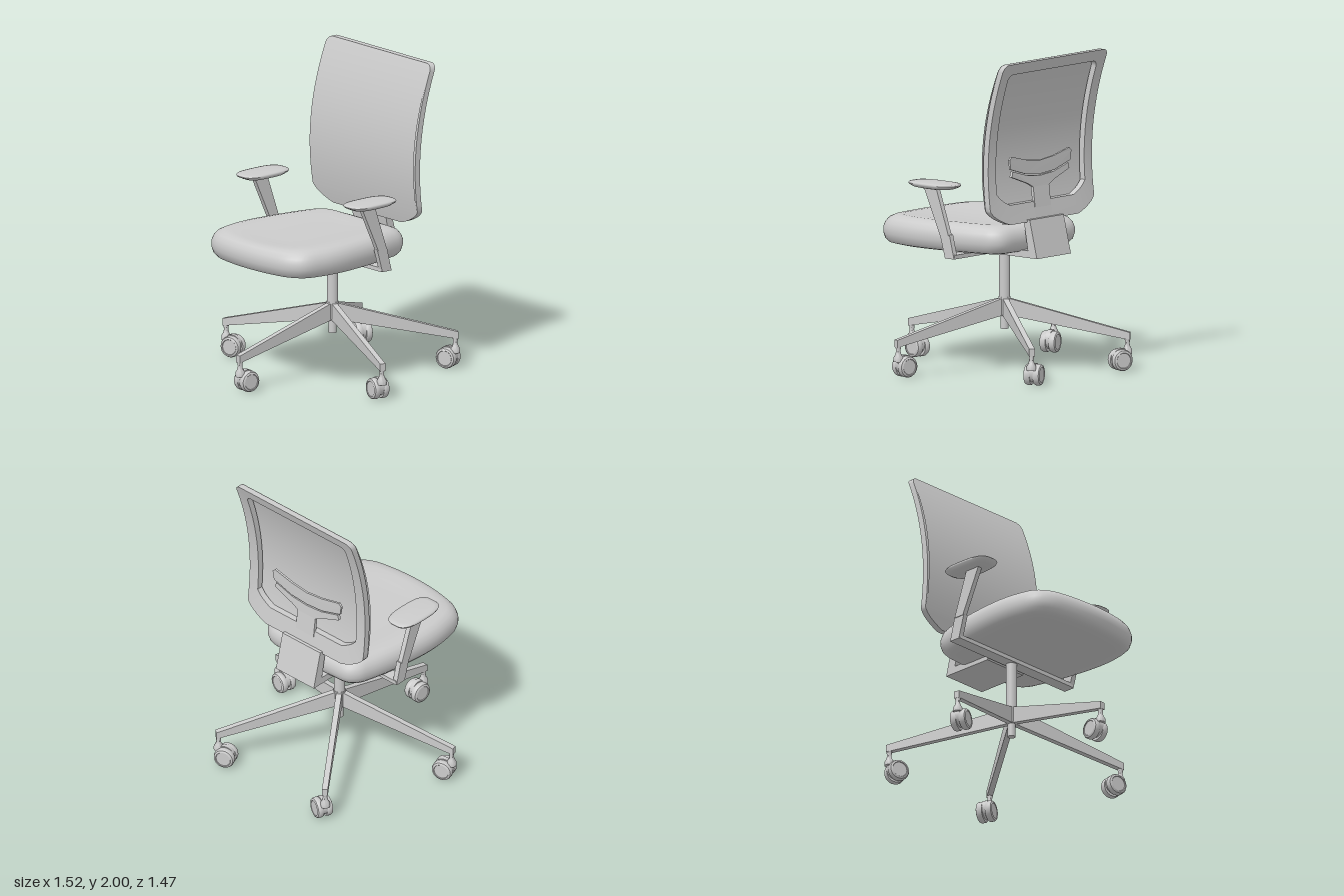
import * as THREE from 'three';
import { toCreasedNormals } from 'three/addons/utils/BufferGeometryUtils.js';

const grey = new THREE.MeshStandardMaterial({ color: 0xcccccc });
const greyThin = new THREE.MeshStandardMaterial({ color: 0xcccccc, side: THREE.DoubleSide });

function add(parent, name, geometry, material = grey) {
  const mesh = new THREE.Mesh(geometry, material);
  mesh.name = name;
  parent.add(mesh);
  return mesh;
}

// Skin over rings of [x, y, z] points; loopU closes each ring, loopV joins last ring to first
function loft(rings, loopU = true, loopV = false, crease = 0.6) {
  const n = rings[0].length, m = rings.length, index = [];
  for (let i = 0; i < (loopV ? m : m - 1); i++) {
    for (let j = 0; j < (loopU ? n : n - 1); j++) {
      const i2 = (i + 1) % m, j2 = (j + 1) % n;
      const a = i * n + j, b = i * n + j2, c = i2 * n + j2, d = i2 * n + j;
      index.push(a, b, c, a, c, d);
    }
  }
  const g = new THREE.BufferGeometry();
  g.setAttribute('position', new THREE.Float32BufferAttribute(rings.flat(2), 3));
  g.setIndex(index);
  g.computeVertexNormals();
  return toCreasedNormals(g, crease);
}

// Side profile of [z, y] points, extruded along x from x0
function sideProfile(points, x0, width) {
  const shape = new THREE.Shape(points.map(([z, y]) => new THREE.Vector2(z, y)));
  const g = new THREE.ExtrudeGeometry(shape, { depth: width, bevelEnabled: false });
  return g.rotateY(-Math.PI / 2).translate(x0 + width, 0, 0);
}

// Front depth of the curved backrest at height y
const backZ = (y) => -0.32 - 0.3 * (y - 1.32) ** 2;

// Right half of the backrest outline, from top centre to bottom centre
function halfOutline(w, top, bottom, radius, cornerX, cornerH) {
  const pts = [[0, top]];
  for (let i = 0; i <= 6; i++) {
    const a = (i / 6) * Math.PI / 2;
    pts.push([w - radius + radius * Math.sin(a), top - radius + radius * Math.cos(a)]);
  }
  const y0 = top - radius, y1 = bottom + cornerH;
  for (let i = 1; i <= 20; i++) pts.push([w, y0 + (y1 - y0) * i / 20]);
  const curve = new THREE.QuadraticBezierCurve(
    new THREE.Vector2(w, y1), new THREE.Vector2(w - 0.03, y1 - cornerH * 0.55), new THREE.Vector2(cornerX, bottom));
  curve.getPoints(8).slice(1).forEach((p) => pts.push([p.x, p.y]));
  pts.push([0, bottom]);
  return pts;
}
const mirrorX = (pts) => pts.map(([x, ...rest]) => [-x, ...rest]);

function buildBackrest(chair) {
  const back = new THREE.Group();
  back.name = 'backrest';
  chair.add(back);
  const outer = halfOutline(0.488, 2, 0.97, 0.045, 0.32, 0.1);
  const inner = halfOutline(0.415, 1.93, 1.09, 0.04, 0.3, 0.08);
  const full = (half) => [...half, ...mirrorX(half).slice(1, -1).reverse()];
  const bend = (pts, offset) => pts.map(([x, y]) => [x, y, backZ(y) + offset]);
  const o = full(outer), n = full(inner);
  add(back, 'backFrame', loft([bend(o, 0), bend(o, -0.04), bend(n, -0.04), bend(n, 0)], true, true));

  // Fabric stretched over the front of the frame, bulging slightly
  const sheet = (pts) => pts.map(([x, y]) =>
    [x, y, backZ(y) + 0.002 + 0.012 * Math.sin(Math.PI * (y - 0.97) / 1.03)]);
  add(back, 'backFabric', loft([sheet(outer), sheet(mirrorX(outer))], false, false, 1), greyThin);

  // Lumbar bar on a forked stem
  const bar = [[0, 1.34], [0.13, 1.355], [0.27, 1.39], [0.29, 1.37], [0.28, 1.31], [0.13, 1.265], [0, 1.255]];
  const fork = [[0, 1.245], [0.12, 1.255], [0.26, 1.295], [0.27, 1.26], [0.12, 1.205], [0.075, 1.18], [0.075, 1.05], [0, 1.05]];
  [['lumbarBar', bar, 0.014], ['lumbarStem', fork, 0.02]].forEach(([name, half, depth]) => {
    const shape = new THREE.Shape(full(half).map(([x, y]) => new THREE.Vector2(x, y)));
    const g = new THREE.ExtrudeGeometry(shape, { depth, bevelEnabled: false });
    const p = g.attributes.position;
    for (let i = 0; i < p.count; i++) p.setZ(i, p.getZ(i) + backZ(p.getY(i)) - 0.044);
    g.computeVertexNormals();
    add(back, name, g);
  });

  // L-shaped bracket from under the seat to the frame
  add(back, 'backBracket', sideProfile(
    [[-0.1, 0.79], [-0.12, 0.745], [-0.475, 0.745], [-0.415, 0.985], [-0.365, 0.985], [-0.4, 0.79]], -0.16, 0.32));
}

function buildSeat(chair) {
  const half = [[0, 0.665], [0.2, 0.652], [0.35, 0.618], [0.435, 0.55], [0.472, 0.42], [0.483, 0.28], [0.47, 0.1],
    [0.44, -0.1], [0.412, -0.22], [0.385, -0.3], [0.33, -0.352], [0.2, -0.367], [0, -0.37]];
  const outline = [...half, ...mirrorX(half).slice(1, -1).reverse()];
  const curve = new THREE.CatmullRomCurve3(outline.map(([x, z]) => new THREE.Vector3(x, 0, z)), true);
  const pts = curve.getPoints(96).slice(0, -1);
  // Rows of inset and height, from the underside centre to the top centre
  const rows = [[0.5, 0.775], [0.12, 0.772], [0.06, 0.773], [0.03, 0.782], [0.01, 0.805], [0, 0.84], [0, 0.875],
    [0.01, 0.905], [0.03, 0.932], [0.06, 0.948], [0.1, 0.955], [0.17, 0.956], [0.25, 0.955], [0.37, 0.955], [0.5, 0.955]];
  const rings = rows.map(([inset, y]) => pts.map((p) => {
    const s = 1 - inset / 0.5;
    const x = p.x * s, z = 0.15 + (p.z - 0.15) * s;
    const dish = y > 0.94 ? 0.018 * Math.max(0, 1 - (x / 0.36) ** 2) * Math.min(1, inset / 0.17) : 0;
    return [x, y - dish, z];
  }));
  add(chair, 'seatCushion', loft(rings, true, false, 1.2));
}

function buildArms(chair) {
  add(chair, 'armCrossbar', new THREE.BoxGeometry(1.02, 0.026, 0.08).translate(0, 0.758, -0.06));
  for (const side of [1, -1]) {
    const arm = new THREE.Group();
    arm.name = side > 0 ? 'leftArm' : 'rightArm';
    chair.add(arm);
    const bar = (name, pts, x, w) => add(arm, name, sideProfile(pts, side * x - w / 2, w));
    bar('armSleeve', [[-0.1, 0.745], [-0.025, 0.745], [0.018, 0.895], [-0.062, 0.895]], 0.498, 0.034);
    bar('armPost', [[-0.058, 0.89], [0.014, 0.89], [0.15, 1.185], [0.045, 1.185]], 0.504, 0.032);

    // Rounded pad, tapering to its underside
    const rows = [[0, 1.178], [0.62, 1.178], [0.8, 1.183], [0.97, 1.197], [1, 1.206], [0.96, 1.213], [0.8, 1.216], [0, 1.217]];
    const rings = rows.map(([s, y]) => Array.from({ length: 48 }, (_, i) => {
      const a = (i / 48) * Math.PI * 2;
      const round = (v, k) => Math.sign(v) * Math.abs(v) ** k;
      return [side * 0.503 + 0.097 * s * round(Math.sin(a), 0.65), y, 0.07 + 0.182 * s * round(Math.cos(a), 0.65)];
    }));
    add(arm, 'armPad', loft(rings, true, false, 0.9));
  }
}

// Twin-wheel caster, trailing along local +z from its stem
function buildCaster() {
  const caster = new THREE.Group();
  caster.name = 'caster';
  const lathe = (pts) => toCreasedNormals(
    new THREE.LatheGeometry(pts.map(([r, y]) => new THREE.Vector2(r, y)), 28), 0.7);
  add(caster, 'casterStem', lathe([[0, 0.1], [0.03, 0.1], [0.03, 0.125], [0.019, 0.145], [0.014, 0.165], [0.017, 0.195], [0, 0.195]]));
  add(caster, 'casterBody', new THREE.CylinderGeometry(0.06, 0.06, 0.03, 28).rotateZ(Math.PI / 2).translate(0, 0.08, 0.046));
  for (const side of [1, -1]) {
    const wheel = add(caster, 'casterWheel', lathe(
      [[0, -0.02], [0.063, -0.02], [0.067, -0.014], [0.067, 0.008], [0.062, 0.018], [0.05, 0.023], [0.047, 0.019], [0, 0.019]]));
    wheel.rotation.z = -side * Math.PI / 2;
    wheel.position.set(side * 0.031, 0.067, 0.05);
  }
  return caster;
}

function buildBase(chair) {
  const base = new THREE.Group();
  base.name = 'base';
  base.position.z = -0.065;
  chair.add(base);
  const tube = (name, r, y0, y1) => add(base, name, new THREE.CylinderGeometry(r, r, y1 - y0, 32).translate(0, (y0 + y1) / 2, 0));
  tube('gasLift', 0.035, 0.4, 0.76);
  tube('liftEnd', 0.024, 0.25, 0.4);
  tube('hub', 0.038, 0.34, 0.45);

  // Five tapered legs, each caster turned its own way: [x, z] trailing direction
  const trail = [[0.1, -1], [-1, -0.2], [-1, 0.4], [1, 0.4], [1, -0.35]];
  trail.forEach(([dx, dz], i) => {
    const angle = i * Math.PI * 2 / 5;
    const leg = add(base, 'leg', sideProfile([[0, 0.34], [0.785, 0.19], [0.785, 0.237], [0, 0.45]], -0.018, 0.036));
    leg.rotation.y = angle;
    const caster = buildCaster();
    caster.position.set(0.768 * Math.sin(angle), 0, 0.768 * Math.cos(angle));
    caster.rotation.y = Math.atan2(dx, dz);
    base.add(caster);
  });
}

export function createModel() {
  const chair = new THREE.Group();
  chair.name = 'officeChair';
  buildBase(chair);
  buildSeat(chair);
  buildArms(chair);
  buildBackrest(chair);
  return chair;
}
